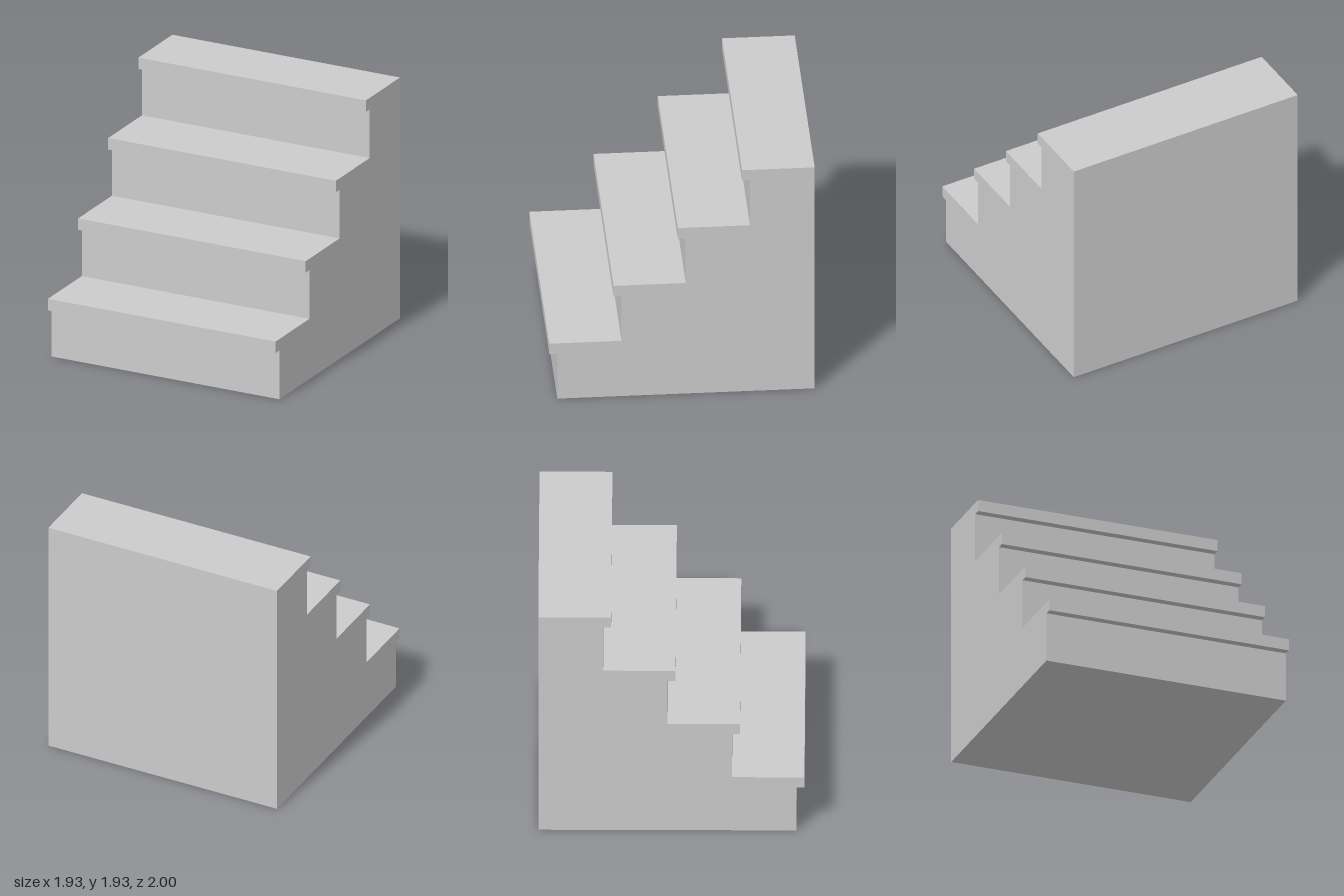
import * as THREE from 'three';

const STEPS = 4;
const WIDTH = 1.935;
const RISE = WIDTH / STEPS;
const RUN = 0.484;
const NOSE = 0.06; // overhang of each tread
const TREAD = 0.092; // thickness of each tread edge
const FRONT = 1;
const BACK = -1;

// Side profile, drawn with shape x = model z and shape y = height
function stairProfile() {
  const shape = new THREE.Shape();
  shape.moveTo(BACK, 0);
  for (let i = 0; i < STEPS; i++) {
    const nose = FRONT - i * RUN;
    const riser = nose - NOSE;
    const top = (i + 1) * RISE;
    shape.lineTo(riser, i * RISE);
    shape.lineTo(riser, top - TREAD);
    shape.lineTo(nose, top - TREAD);
    shape.lineTo(nose, top);
  }
  shape.lineTo(BACK, STEPS * RISE);
  shape.closePath();
  return shape;
}

export function createModel() {
  const group = new THREE.Group();
  group.name = 'staircase';

  // Solid flight of steps with overhanging treads
  const geometry = new THREE.ExtrudeGeometry(stairProfile(), { depth: WIDTH, bevelEnabled: false });
  geometry.translate(0, 0, -WIDTH / 2);
  geometry.rotateY(-Math.PI / 2);

  const steps = new THREE.Mesh(
    geometry,
    new THREE.MeshStandardMaterial({ color: 0xcccccc, flatShading: true })
  );
  steps.name = 'steps';
  group.add(steps);
  return group;
}
